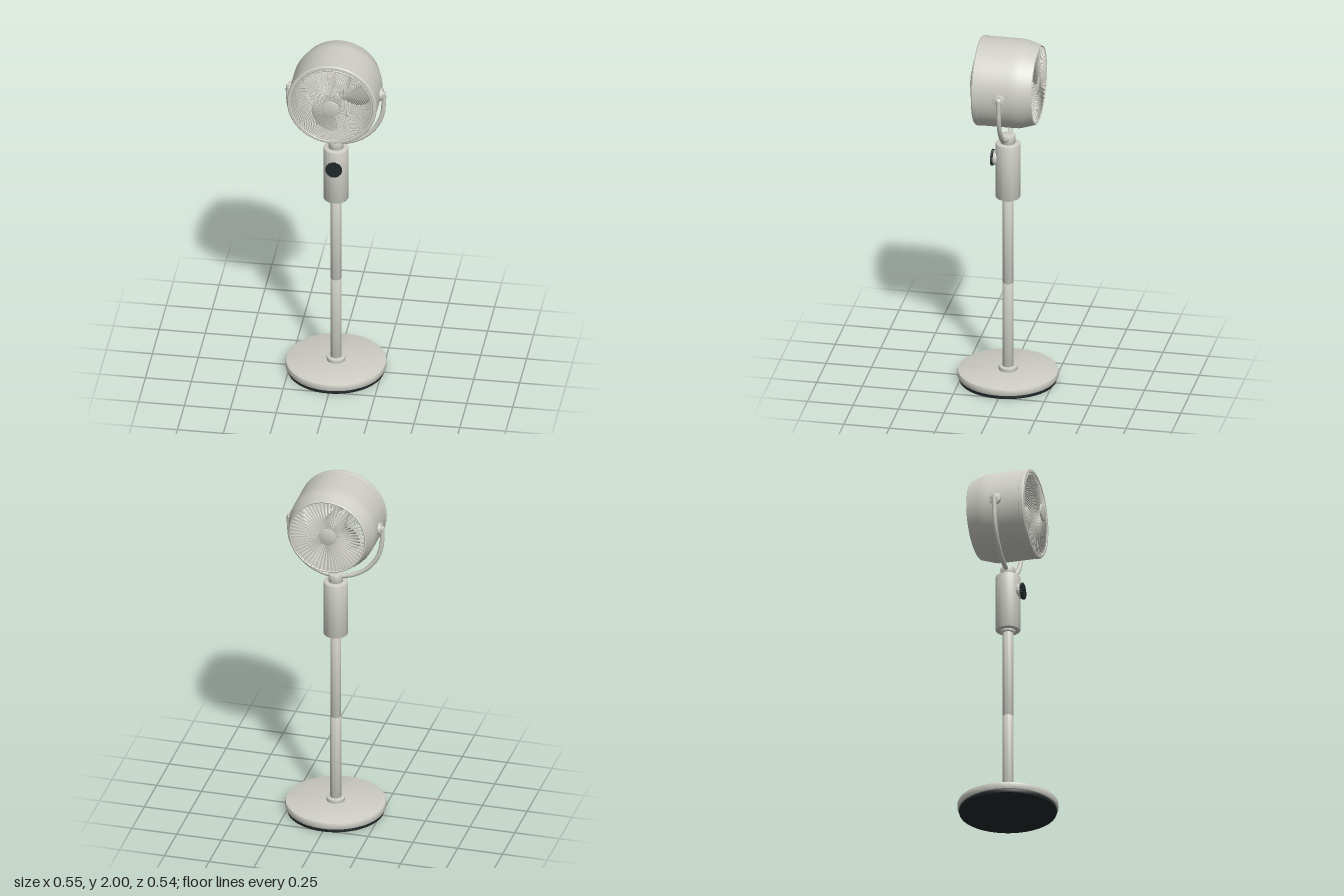
import * as THREE from 'three';
import { mergeGeometries, toCreasedNormals } from 'three/addons/utils/BufferGeometryUtils.js';

const HEAD_Y = 1.757;

export function createModel() {
  const model = new THREE.Group();
  model.name = 'pedestalFan';
  const light = new THREE.MeshStandardMaterial({ color: 0xcdcdc5, side: THREE.DoubleSide });
  light.name = 'warm grey plastic';
  const dark = new THREE.MeshStandardMaterial({ color: 0x20282a });
  dark.name = 'charcoal rubber';

  const add = (parent, name, geometry, material = light) => {
    const mesh = new THREE.Mesh(geometry, material);
    mesh.name = name;
    parent.add(mesh);
    return mesh;
  };
  // Revolved profile of [radius, height] pairs, listed upwards on the outside
  const turned = (pairs, segments = 64) =>
    toCreasedNormals(new THREE.LatheGeometry(pairs.map(([r, y]) => new THREE.Vector2(r, y)), segments), 0.6);
  // Solid disc or column with softened rims
  const column = (r, y0, y1, b = 0.003, segments = 40) =>
    turned([[0, y0], [r - b, y0], [r - b * 0.3, y0 + b * 0.3], [r, y0 + b], [r, y1 - b], [r - b * 0.3, y1 - b * 0.3], [r - b, y1], [0, y1]], segments);
  const alongZ = (g) => g.rotateX(Math.PI / 2);

  // Base and stand
  add(model, 'foot', column(0.263, 0, 0.022, 0.002, 72), dark);
  add(model, 'base', column(0.272, 0.019, 0.06, 0.008, 72));
  add(model, 'baseCollar', column(0.05, 0.058, 0.082));
  add(model, 'lowerPole', column(0.03, 0.08, 0.572, 0.001));
  add(model, 'upperPole', column(0.0285, 0.572, 1.075, 0.001));
  add(model, 'poleCollar', column(0.04, 1.066, 1.085));
  add(model, 'controlColumn', column(0.067, 1.08, 1.402, 0.006));
  add(model, 'neck', column(0.04, 1.4, 1.45));

  // Control dial: pale seat with a scalloped dark face
  const dial = new THREE.Group();
  dial.name = 'controlDial';
  dial.position.set(0, 1.306, 0);
  model.add(dial);
  add(dial, 'dialSeat', alongZ(column(0.042, 0.055, 0.077)));
  const face = new THREE.Shape();
  for (let i = 0; i <= 96; i++) {
    const a = (i / 96) * Math.PI * 2, r = 0.044 + 0.0015 * Math.cos(a * 24);
    face[i ? 'lineTo' : 'moveTo'](r * Math.cos(a), r * Math.sin(a));
  }
  add(dial, 'dialFace', new THREE.ExtrudeGeometry(face, { depth: 0.013, bevelEnabled: false }).translate(0, 0, 0.077), dark);

  // Curved yoke carrying the head
  const arc = [new THREE.Vector3(-0.261, HEAD_Y + 0.01, 0), new THREE.Vector3(-0.261, 1.725, 0)];
  for (let i = 0; i <= 24; i++) {
    const a = Math.PI + (i / 24) * Math.PI;
    arc.push(new THREE.Vector3(0.259 * Math.cos(a), 1.693 + 0.259 * Math.sin(a), 0));
  }
  arc.push(new THREE.Vector3(0.261, 1.725, 0), new THREE.Vector3(0.261, HEAD_Y + 0.01, 0));
  add(model, 'yoke', new THREE.TubeGeometry(new THREE.CatmullRomCurve3(arc), 96, 0.0125, 12));
  for (const s of [-1, 1]) {
    const pivot = new THREE.Group();
    pivot.name = s > 0 ? 'leftPivot' : 'rightPivot';
    pivot.position.y = HEAD_Y;
    pivot.rotation.z = -s * Math.PI / 2;
    model.add(pivot);
    add(pivot, 'pivotDisc', column(0.033, 0.232, 0.257));
    add(pivot, 'pivotCap', turned([[0.018, 0.25], [0.018, 0.262], [0.009, 0.271], [0, 0.272]], 24));
  }

  // Head: hollow shell, open at both ends
  const head = new THREE.Group();
  head.name = 'head';
  head.position.y = HEAD_Y;
  model.add(head);
  add(head, 'housing', alongZ(turned([
    [0.206, -0.168], [0.211, -0.172], [0.216, -0.168], [0.226, -0.135], [0.237, -0.1], [0.2415, -0.08],
    [0.2425, -0.05], [0.2425, 0.127], [0.23, 0.127], [0.23, -0.07], [0.206, -0.168]], 80)));
  add(head, 'frontRim', alongZ(turned([
    [0.222, 0.125], [0.241, 0.125], [0.244, 0.129], [0.244, 0.149], [0.239, 0.156], [0.226, 0.157],
    [0.22, 0.15], [0.22, 0.125]], 80)));
  add(head, 'frontGrilleRing', new THREE.TorusGeometry(0.217, 0.005, 8, 80).translate(0, 0, 0.152));

  // Domed front grille of swirling wires
  const domeZ = (r) => 0.192 - 0.038 * (r / 0.218) ** 2;
  const wirePoints = [];
  for (let i = 0; i <= 8; i++) {
    const r = 0.044 + 0.174 * (i / 8), a = 0.85 * (i / 8) ** 1.2;
    wirePoints.push(new THREE.Vector3(r * Math.cos(a), r * Math.sin(a), domeZ(r)));
  }
  const wire = new THREE.TubeGeometry(new THREE.CatmullRomCurve3(wirePoints), 14, 0.0019, 5);
  const ring = (g, n) => mergeGeometries(Array.from({ length: n }, (_, i) => g.clone().rotateZ((i / n) * Math.PI * 2)));
  add(head, 'frontGrille', ring(wire, 80));
  add(head, 'frontCap', alongZ(column(0.048, 0.182, 0.2, 0.003, 48)));

  // Rear grille of straight radial slats
  const slat = new THREE.BoxGeometry(0.17, 0.0045, 0.012).translate(0.125, 0, -0.164);
  add(head, 'rearGrille', ring(slat, 56));
  add(head, 'rearCap', alongZ(column(0.05, -0.172, -0.152, 0.003, 48)));
  add(head, 'motor', alongZ(column(0.06, -0.155, 0.02, 0.008)));

  // Three-blade impeller
  const fan = new THREE.Group();
  fan.name = 'impeller';
  head.add(fan);
  add(fan, 'impellerHub', alongZ(column(0.046, 0.015, 0.115, 0.01)));
  const blade = new THREE.PlaneGeometry(1, 1, 10, 10);
  const p = blade.attributes.position;
  for (let i = 0; i < p.count; i++) {
    const u = p.getX(i) + 0.5, v = p.getY(i);
    const r = 0.04 + 0.16 * u * (1 - 0.35 * v * v);
    const a = v * (0.85 + 0.35 * Math.sin(Math.PI * u)) + 0.3 * u;
    p.setXYZ(i, r * Math.cos(a), r * Math.sin(a), 0.065 + 0.075 * v + 0.012 * Math.cos(v * Math.PI));
  }
  blade.computeVertexNormals();
  for (let i = 0; i < 3; i++) add(fan, 'blade', blade).rotation.z = -0.1 + (i * Math.PI * 2) / 3;

  return model;
}
